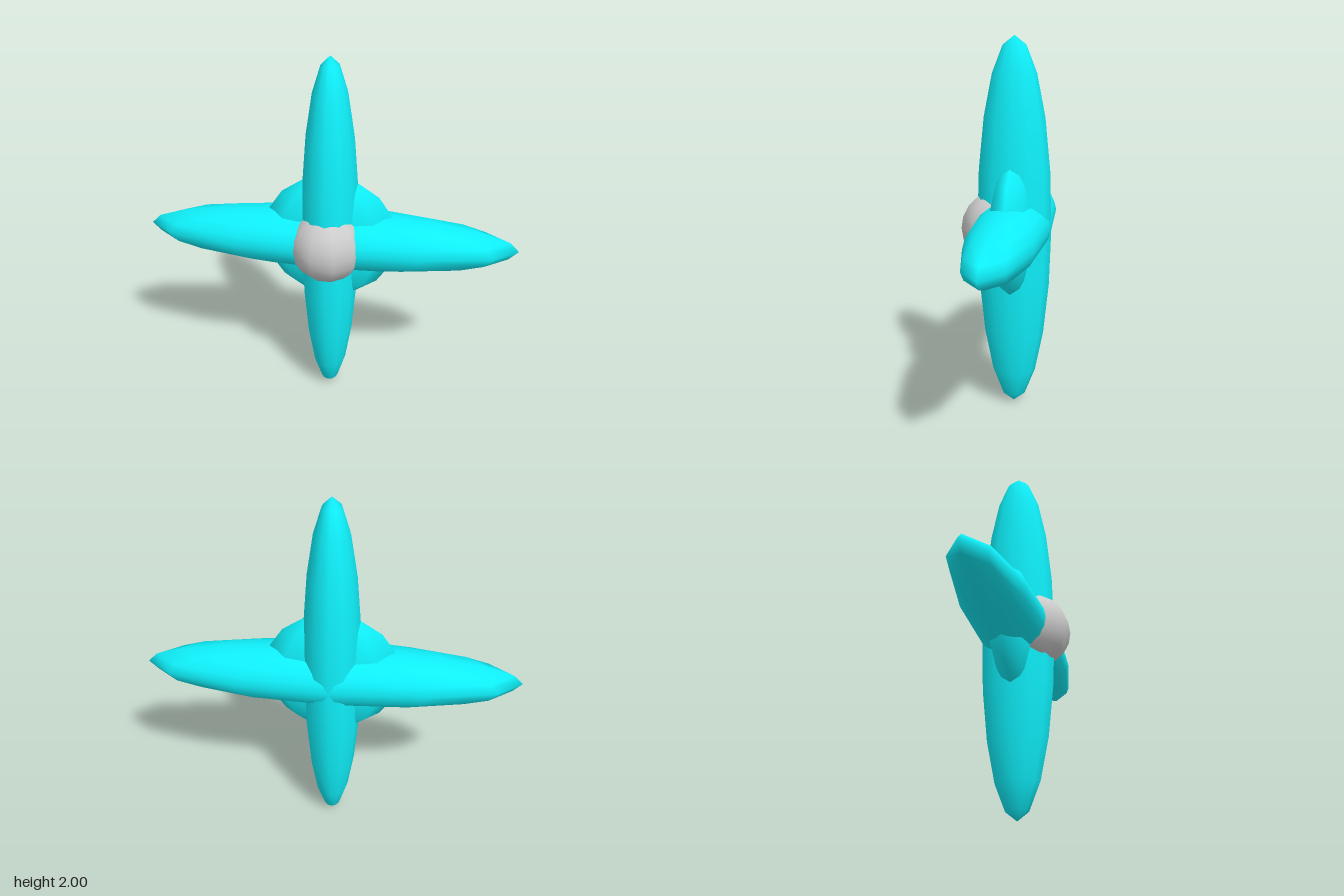
import * as THREE from 'three';

// Stretched, smooth-shaded low-poly ball centred at height 1
function ellipsoid(name, radii, z, sides, rings, material) {
  const geometry = new THREE.SphereGeometry(1, sides, rings);
  geometry.scale(...radii);
  const mesh = new THREE.Mesh(geometry, material);
  mesh.name = name;
  mesh.position.set(0, 1, z);
  return mesh;
}

export function createModel() {
  const group = new THREE.Group();
  group.name = 'crossStar';
  const cyan = new THREE.MeshStandardMaterial({ color: 0x0ff0fa });
  const grey = new THREE.MeshStandardMaterial({ color: 0xcccccc });
  const z = -0.037;

  // Two long crossing blades
  group.add(ellipsoid('verticalBlade', [0.155, 1, 0.2], z, 12, 10, cyan));
  group.add(ellipsoid('horizontalBlade', [1, 0.16, 0.2], z, 12, 10, cyan));
  // Flat disc filling the corners between the blades
  group.add(ellipsoid('centreDisc', [0.365, 0.365, 0.13], z, 8, 8, cyan));
  // Round boss on the front
  group.add(ellipsoid('frontBoss', [0.2, 0.2, 0.2], 0.047, 10, 10, grey));
  return group;
}
